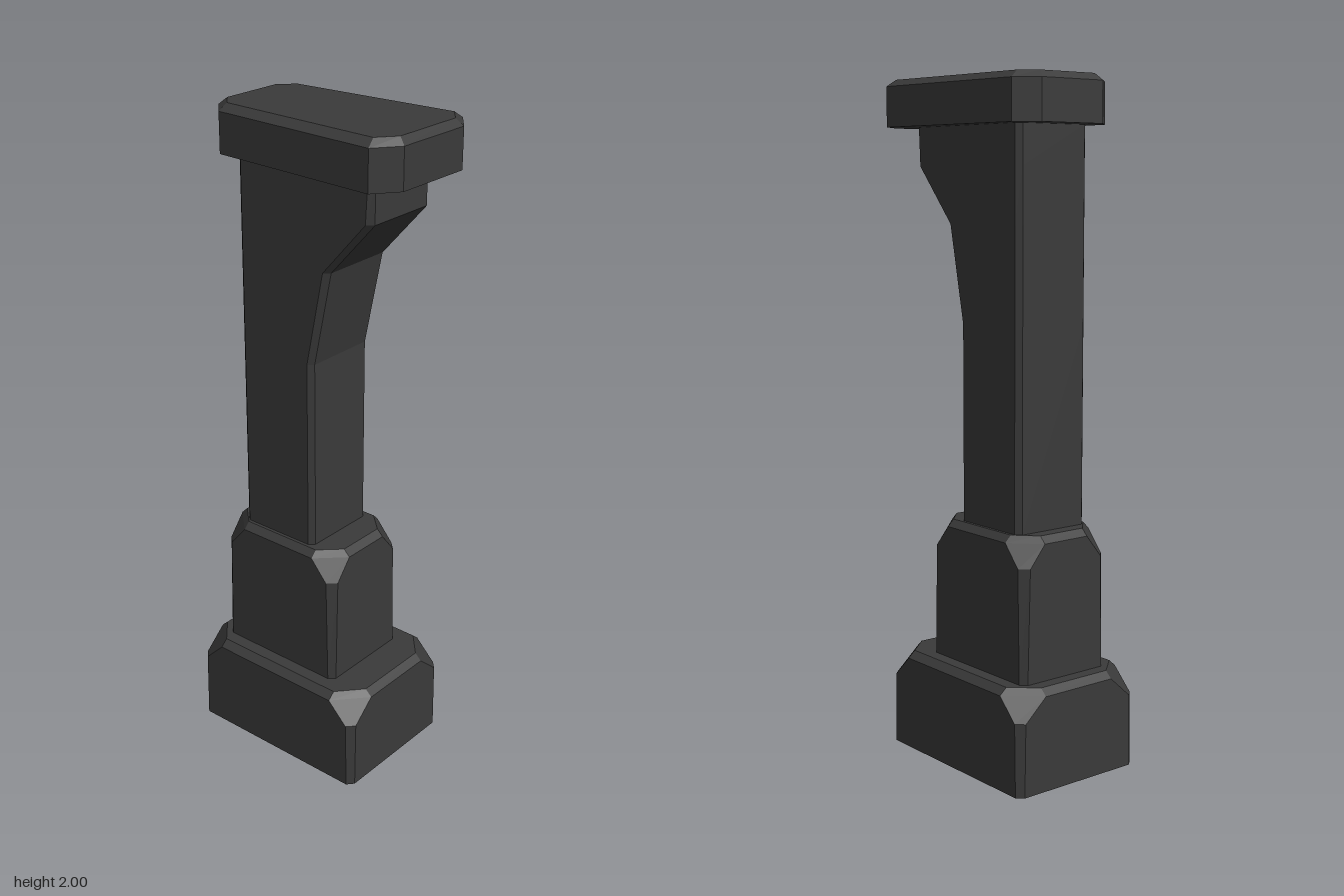
import * as THREE from 'three';

// Eight-sided ring at height y. Each end is [outer x, chamfer x, chamfer z, half depth].
function ring(y, left, right) {
  const [lx, lcx, lcz, lhz] = left, [rx, rcx, rcz, rhz] = right;
  return [[rx, rcz], [rx, -rcz], [rcx, -rhz], [lcx, -lhz], [lx, -lcz], [lx, lcz], [lcx, lhz], [rcx, rhz]]
    .map(([x, z]) => [x, y, z]);
}

// Ring symmetric about centre cx; (hx, hz) half size, (ex, ez) where the chamfer starts.
function block(y, cx, hx, hz, ex, ez) {
  return ring(y, [cx - hx, cx - ex, ez, hz], [cx + hx, cx + ex, ez, hz]);
}

// Closed solid through a stack of rings, bottom to top.
function loft(name, rings, material) {
  const pos = [];
  const tri = (a, b, c) => pos.push(...a, ...b, ...c);
  const n = rings[0].length, top = rings[rings.length - 1], low = rings[0];
  for (let r = 0; r < rings.length - 1; r++) {
    for (let i = 0; i < n; i++) {
      const j = (i + 1) % n, a = rings[r], b = rings[r + 1];
      tri(a[i], a[j], b[j]);
      tri(a[i], b[j], b[i]);
    }
  }
  for (let i = 1; i < n - 1; i++) {
    tri(top[0], top[i], top[i + 1]);
    tri(low[0], low[i + 1], low[i]);
  }
  const geo = new THREE.BufferGeometry();
  geo.setAttribute('position', new THREE.Float32BufferAttribute(pos, 3));
  geo.computeVertexNormals();
  const mesh = new THREE.Mesh(geo, material);
  mesh.name = name;
  return mesh;
}

export function createModel() {
  const group = new THREE.Group();
  group.name = 'bracketPillar';
  const stone = new THREE.MeshStandardMaterial({ color: 0x3a3a3a });
  stone.name = 'dark stone';

  // Base block: narrow corner chamfers that widen near the bevelled top
  group.add(loft('base', [
    block(0, -0.0425, 0.3075, 0.22, 0.29, 0.2),
    block(0.215, -0.0425, 0.3075, 0.22, 0.286, 0.197),
    block(0.28, -0.0425, 0.3075, 0.22, 0.221, 0.124),
    block(0.3, -0.0425, 0.286, 0.197, 0.221, 0.124),
  ], stone));

  // Plinth, the same shape but smaller
  group.add(loft('plinth', [
    block(0.3, -0.075, 0.215, 0.157, 0.197, 0.14),
    block(0.635, -0.075, 0.215, 0.157, 0.19, 0.132),
    block(0.7, -0.075, 0.215, 0.157, 0.134, 0.079),
    block(0.72, -0.075, 0.195, 0.137, 0.134, 0.079),
  ], stone));

  // Shaft with a bracket flaring toward +x: [height, right x, right chamfer]
  const flare = [[0.72, 0.037, 0.016], [1.3, 0.037, 0.016], [1.585, 0.097, 0.018], [1.75, 0.245, 0.02], [1.865, 0.245, 0.014]];
  group.add(loft('shaft', flare.map(([y, x, c]) =>
    ring(y, [-0.23, -0.214, 0.112, 0.127], [x, x - c, 0.112, 0.127])), stone));

  // Cap slab, wider at the +x end, with a bevelled top
  const capLeft = [-0.306, -0.25, 0.11, 0.169], capRight = [0.346, 0.29, 0.127, 0.2];
  group.add(loft('cap', [
    ring(1.863, capLeft, capRight),
    ring(1.98, capLeft, capRight),
    ring(2, [-0.284, -0.242, 0.098, 0.144], [0.325, 0.282, 0.117, 0.171]),
  ], stone));

  return group;
}
